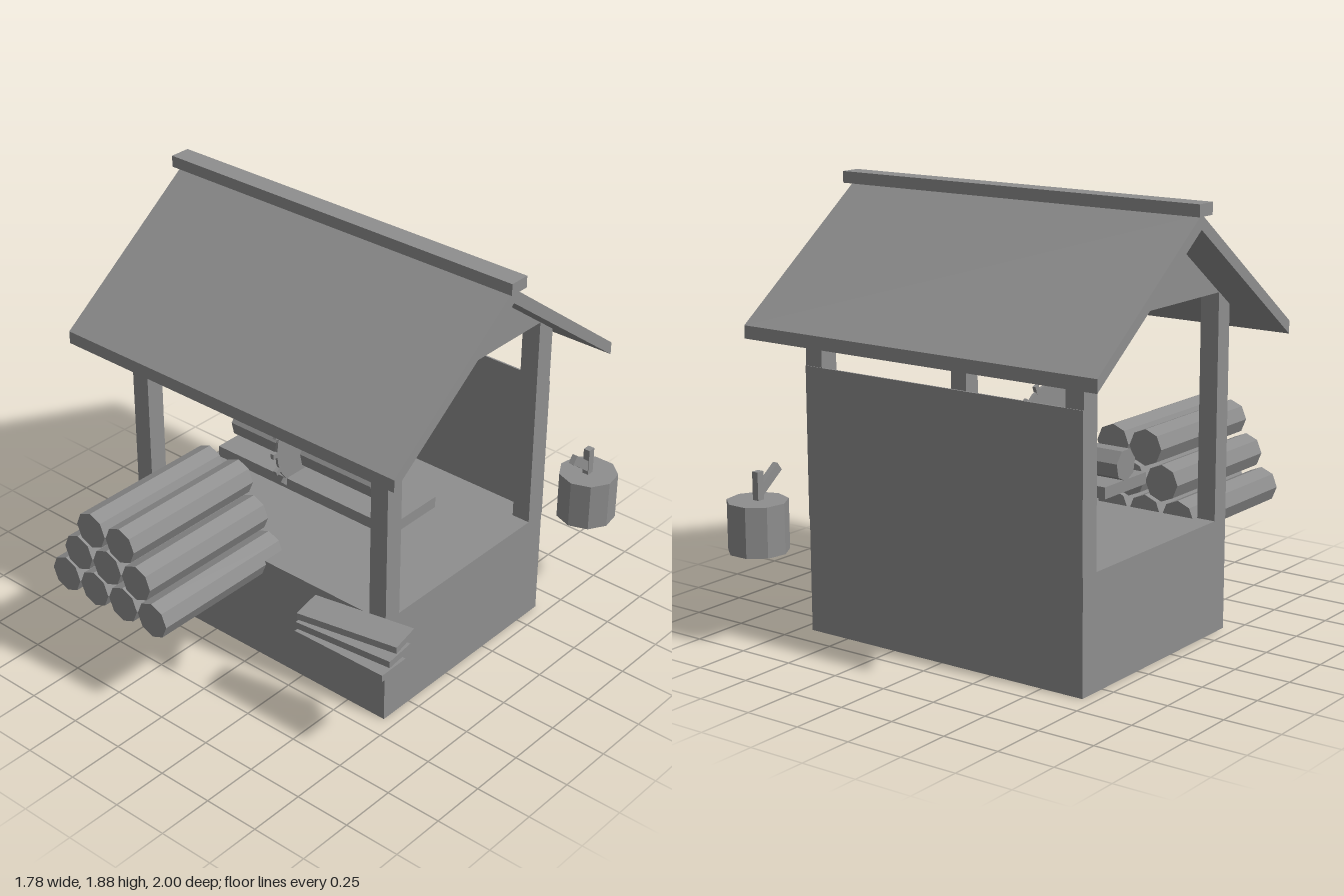
import * as THREE from 'three';

export function createModel() {
  const model = new THREE.Group();
  model.name = 'sawmill';
  const grey = new THREE.MeshStandardMaterial({ color: 0x8e8e8e, flatShading: true, side: THREE.DoubleSide });
  grey.name = 'plain grey';

  const add = (name, geometry, x = 0, y = 0, z = 0, parent = model) => {
    const mesh = new THREE.Mesh(geometry, grey);
    mesh.name = name;
    mesh.position.set(x, y, z);
    parent.add(mesh);
    return mesh;
  };
  // box given by its limits on each axis
  const block = (name, [x0, x1], [y0, y1], [z0, z1], parent) =>
    add(name, new THREE.BoxGeometry(x1 - x0, y1 - y0, z1 - z0),
      (x0 + x1) / 2, (y0 + y1) / 2, (z0 + z1) / 2, parent);
  // shape drawn in (z, y), extruded along x from x0 to x1
  const profile = (points) => new THREE.Shape(points.map(([z, y]) => new THREE.Vector2(-z, y)));

  const W = 0.695, FRONT = 0.41, BACK = -0.635, FLOOR = 0.49, RIDGE = -0.11;
  const depth = FRONT - BACK, midZ = (FRONT + BACK) / 2;

  // Hollow base, open underneath
  const base = new THREE.Group();
  base.name = 'base';
  model.add(base);
  add('floor', new THREE.PlaneGeometry(2 * W, depth).rotateX(-Math.PI / 2), 0, FLOOR, midZ, base);
  add('frontBaseWall', new THREE.PlaneGeometry(2 * W, FLOOR), 0, FLOOR / 2, FRONT, base);
  add('backBaseWall', new THREE.PlaneGeometry(2 * W, FLOOR).rotateY(Math.PI), 0, FLOOR / 2, BACK, base);
  for (const s of [-1, 1])
    add('sideBaseWall', new THREE.PlaneGeometry(depth, FLOOR).rotateY(s * Math.PI / 2), s * W, FLOOR / 2, midZ, base);

  // Back wall
  block('backWall', [-W, W], [FLOOR, 1.145], [BACK - 0.004, BACK + 0.004]);

  // Corner posts with tops cut to the roof slope, and gable panels
  const roofUnder = (z) => 1.78 - 0.737 * Math.abs(z - RIDGE);
  for (const s of [-1, 1]) {
    for (const [z0, z1] of [[0.325, FRONT], [BACK, -0.545]]) {
      const shape = profile([[z1, FLOOR], [z0, FLOOR], [z0, roofUnder(z0)], [z1, roofUnder(z1)]]);
      const post = new THREE.ExtrudeGeometry(shape, { depth: 0.085, bevelEnabled: false }).rotateY(Math.PI / 2);
      add('post', post, s > 0 ? W - 0.085 : -W);
    }
    const gable = new THREE.ShapeGeometry(profile([[0.328, 1.457], [-0.548, 1.457], [RIDGE, 1.78]])).rotateY(Math.PI / 2);
    add('gable', gable, s * (W - 0.001));
  }

  // Pitched roof and ridge cap
  const roofShape = profile([[0.59, 1.265], [0.59, 1.32], [RIDGE, 1.84], [-0.81, 1.32], [-0.81, 1.265], [RIDGE, 1.78]]);
  add('roof', new THREE.ExtrudeGeometry(roofShape, { depth: 1.745, bevelEnabled: false }).rotateY(Math.PI / 2), -0.875);
  block('ridgeCap', [-0.895, 0.89], [1.835, 1.885], [-0.158, -0.065]);

  // Pile of logs
  const logGeometry = new THREE.CylinderGeometry(0.08, 0.08, 0.695, 8).rotateX(Math.PI / 2);
  for (let row = 0; row < 3; row++)
    for (let i = 0; i < 4 - row; i++)
      add('pileLog', logGeometry, -0.525 + row * 0.0825 + i * 0.165, 0.475 + row * 0.143, 0.6525);

  // Saw bench with log
  block('sawBench', [-0.478, 0.478], [0.66, 0.71], [-0.17, 0.13]);
  add('sawnLog', new THREE.CylinderGeometry(0.069, 0.069, 0.785, 7).rotateX(Math.PI / 2).rotateY(Math.PI / 2),
    -0.0875, 0.773, -0.022);

  // Circular saw with square teeth
  const saw = new THREE.Group();
  saw.name = 'saw';
  saw.position.set(-0.09, 0.852, -0.022);
  model.add(saw);
  add('blade', new THREE.CylinderGeometry(0.21, 0.21, 0.012, 24).rotateZ(Math.PI / 2), 0, 0, 0, saw);
  for (let i = 0; i < 16; i++) {
    const a = i * Math.PI / 8;
    const tooth = add('tooth', new THREE.BoxGeometry(0.016, 0.035, 0.023),
      0, 0.217 * Math.cos(a), 0.217 * Math.sin(a), saw);
    tooth.rotation.x = a;
  }

  // Fanned boards at the front
  const boardGeometry = new THREE.BoxGeometry(0.45, 0.03, 0.145).translate(0.225, 0, -0.0725);
  for (let i = 0; i < 3; i++)
    add('board', boardGeometry, 0.432 + i * 0.006, 0.445 + i * 0.046, 0.66).rotation.y = 0.01 + i * 0.09;

  // Chopping block with axe
  add('choppingBlock', new THREE.CylinderGeometry(0.129, 0.129, 0.215, 9), 0.76, 0.5075, -0.879);
  block('axeHead', [0.745, 0.775], [0.61, 0.735], [-0.89, -0.855]);
  add('axeHandle', new THREE.BoxGeometry(0.025, 0.042, 0.14), 0.76, 0.692, -0.81).rotation.x = -0.65;

  return model;
}
